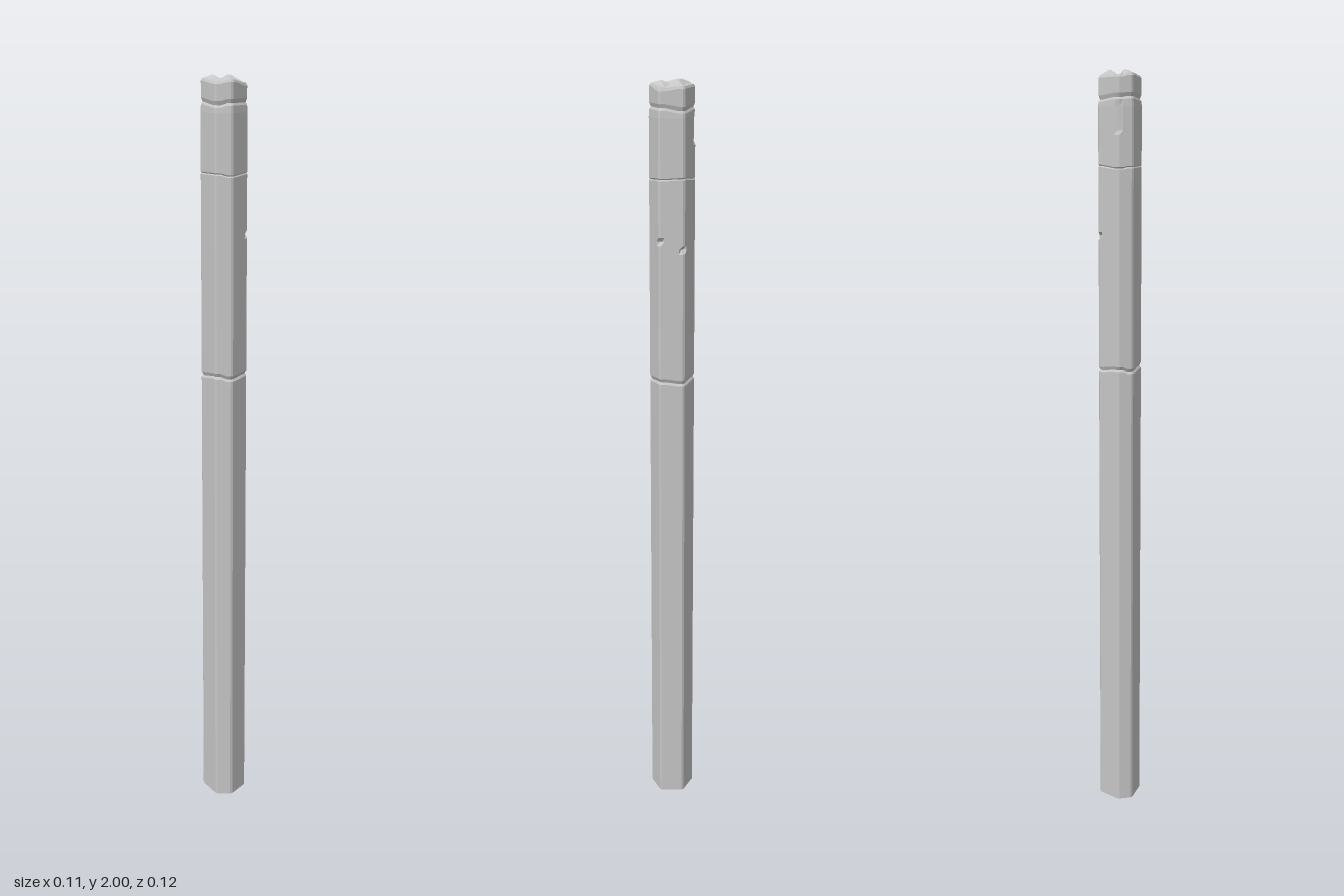
import * as THREE from 'three';

const stone = new THREE.MeshStandardMaterial({ color: 0xc6c6c6, flatShading: true, side: THREE.DoubleSide });
stone.name = 'pale grey';

// irregular six-sided cross-section [x, z]
const corners = [[-0.004, -0.061], [0.053, -0.022], [0.043, 0.042], [-0.024, 0.057], [-0.056, 0.026], [-0.042, -0.047]];

// four points round each corner give it a narrow bevel
const outline = [];
corners.forEach((c, i) => {
  const step = (to, d) => {
    const dx = to[0] - c[0], dz = to[1] - c[1], l = Math.hypot(dx, dz);
    return [c[0] + dx / l * d, c[1] + dz / l * d];
  };
  const prev = corners[(i + 5) % 6], next = corners[(i + 1) % 6];
  outline.push(step(prev, 0.014), step(prev, 0.004), step(next, 0.004), step(next, 0.014));
});
const N = outline.length;

// row: { y, s: scale, h: extra height per corner, dent: [corner, scale] }
function loft(name, rows) {
  const pos = [], index = [];
  for (const { y, s = 1, h, dent } of rows) {
    outline.forEach(([x, z], k) => {
      const corner = Math.floor(k / 4), bevel = k % 4 === 1 || k % 4 === 2;
      const f = dent && dent[0] === corner && bevel ? s * dent[1] : s;
      pos.push(x * f, y + (h ? h[corner] : 0), z * f);
    });
  }
  for (let r = 0; r < rows.length - 1; r++) {
    for (let k = 0; k < N; k++) {
      const a = r * N + k, b = r * N + (k + 1) % N;
      index.push(a, a + N, b, b, a + N, b + N);
    }
  }
  const geo = new THREE.BufferGeometry();
  geo.setAttribute('position', new THREE.Float32BufferAttribute(pos, 3));
  geo.setIndex(index);
  geo.computeVertexNormals();
  const mesh = new THREE.Mesh(geo, stone);
  mesh.name = name;
  return mesh;
}

export function createModel() {
  const group = new THREE.Group();
  group.name = 'stonePillar';

  // uneven edges along the cracks
  const low = [0.003, -0.003, 0.002, -0.002, 0.004, -0.003];
  const mid = [-0.002, 0.003, 0.001, -0.003, 0.002, 0.001];
  const top = [0.002, -0.004, 0.003, 0.003, -0.002, 0.004];

  group.add(
    // long shaft, open underneath
    loft('lowerShaft', [
      { y: 0 }, { y: 1.228, h: low }, { y: 1.234, s: 0.92, h: low },
    ]),
    // shaft with two small pits on its corners
    loft('middleShaft', [
      { y: 1.234, s: 0.92, h: low }, { y: 1.243, h: low },
      { y: 1.573 }, { y: 1.585, dent: [1, 0.84] }, { y: 1.594 },
      { y: 1.605, dent: [2, 0.86] }, { y: 1.616 },
      { y: 1.756, h: mid }, { y: 1.759, s: 0.96, h: mid },
    ]),
    // upper collar, chipped at the back
    loft('collar', [
      { y: 1.759, s: 0.96, h: mid }, { y: 1.762, h: mid },
      { y: 1.84 }, { y: 1.85, dent: [0, 0.93] }, { y: 1.91, dent: [0, 0.95] },
      { y: 1.925, s: 0.98, h: top }, { y: 1.931, s: 0.91, h: top },
    ]),
    // broken cap with a faceted, notched top
    loft('brokenCap', [
      { y: 1.931, s: 0.91, h: top }, { y: 1.941, s: 0.98, h: top },
      { y: 1.974, s: 0.98, h: [0.008, 0.006, 0, 0.01, 0.006, 0.012] },
      { y: 1.98, s: 0.92, h: [0.008, 0.006, 0.002, 0.01, 0.006, 0.012] },
      { y: 1.985, s: 0.5, h: [0.002, 0.015, -0.002, 0.012, 0.008, 0.015] },
      { y: 1.985, s: 0 },
    ]),
  );
  return group;
}
